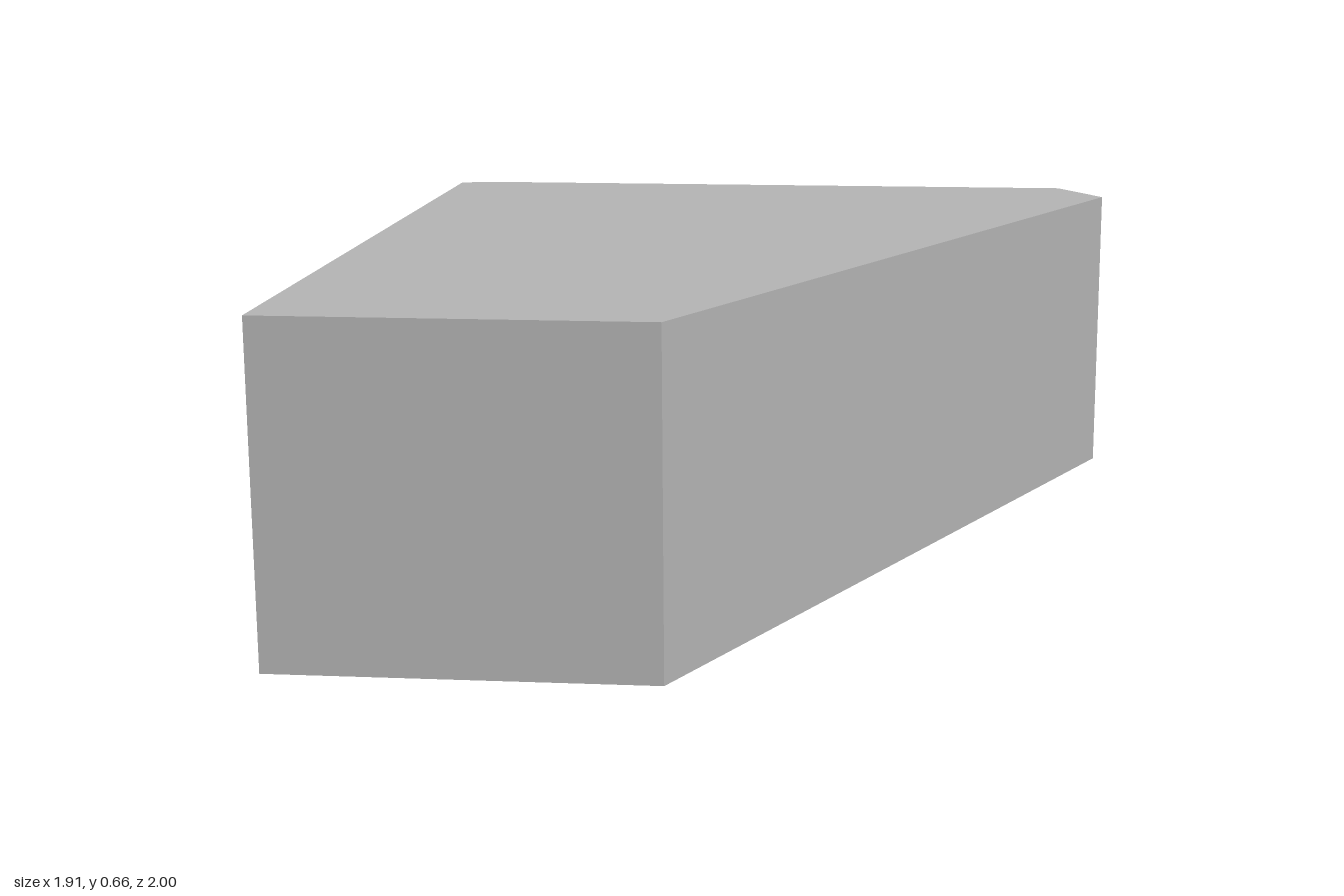
import * as THREE from 'three';

const HEIGHT = 0.66;

// Plan outline as [x, z], running round the block
const OUTLINE = [
  [-0.61, -0.995], [-0.53, -1], [0.89, -0.72],
  [0.955, -0.54], [-0.235, 1], [-0.96, 0.86],
];

export function createModel() {
  const grey = new THREE.MeshStandardMaterial({ color: 0xb6b6b6, side: THREE.DoubleSide });
  grey.name = 'grey';
  const model = new THREE.Group();
  model.name = 'openShell';

  // Flat roof
  const shape = new THREE.Shape(OUTLINE.map(([x, z]) => new THREE.Vector2(x, -z)));
  const roof = new THREE.Mesh(new THREE.ShapeGeometry(shape), grey);
  roof.name = 'roof';
  roof.rotation.x = -Math.PI / 2;
  roof.position.y = HEIGHT;
  model.add(roof);

  // One thin wall per outline edge, facing outwards; the underside stays open
  const walls = new THREE.Group();
  walls.name = 'walls';
  OUTLINE.forEach(([x0, z0], i) => {
    const [x1, z1] = OUTLINE[(i + 1) % OUTLINE.length];
    const dx = x1 - x0, dz = z1 - z0;
    const wall = new THREE.Mesh(new THREE.PlaneGeometry(Math.hypot(dx, dz), HEIGHT), grey);
    wall.name = `wall${i + 1}`;
    wall.position.set((x0 + x1) / 2, HEIGHT / 2, (z0 + z1) / 2);
    wall.rotation.y = Math.atan2(dz, -dx);
    walls.add(wall);
  });
  model.add(walls);

  return model;
}
